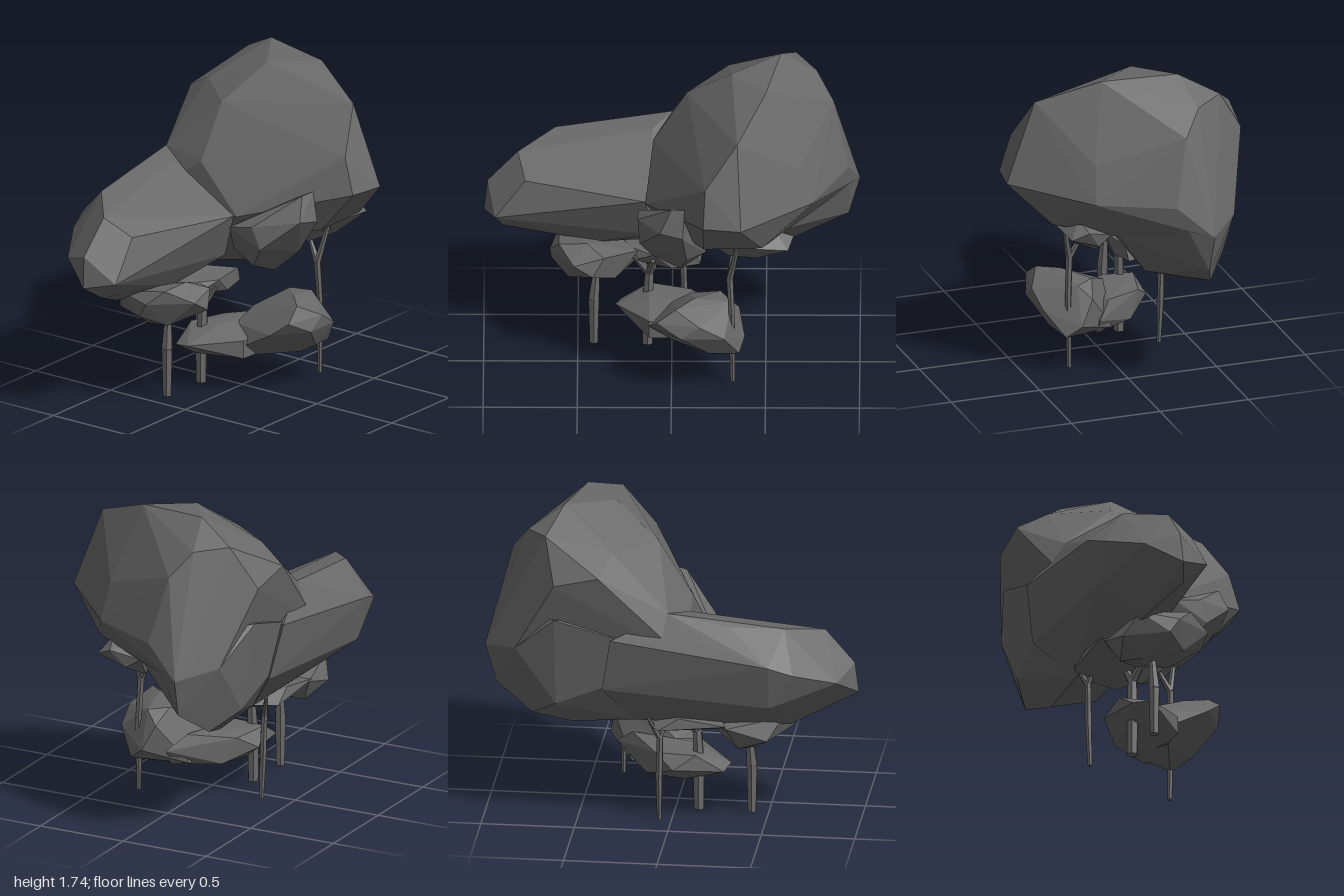
import * as THREE from 'three';
import { ConvexGeometry } from 'three/addons/geometries/ConvexGeometry.js';

const grey = new THREE.MeshStandardMaterial({ color: 0x696969, flatShading: true });
grey.name = 'dark grey';

export function createModel() {
  const model = new THREE.Group();
  model.name = 'treeCluster';

  // A faceted clump of leaves spanned by its outermost corners
  const clump = (name, corners) => {
    const mesh = new THREE.Mesh(new ConvexGeometry(corners.map((c) => new THREE.Vector3(...c))), grey);
    mesh.name = name;
    model.add(mesh);
  };

  // A tapered six-sided limb between two points
  const limb = (parent, a, b, ra, rb) => {
    const from = new THREE.Vector3(...a), dir = new THREE.Vector3(...b).sub(from);
    const mesh = new THREE.Mesh(new THREE.CylinderGeometry(rb, ra, dir.length(), 6), grey);
    mesh.name = 'limb';
    mesh.position.copy(from).addScaledVector(dir, 0.5);
    mesh.quaternion.setFromUnitVectors(new THREE.Vector3(0, 1, 0), dir.normalize());
    parent.add(mesh);
  };

  // Tree trunk: a path of points with radii, ending in a fork
  const tree = (name, path, radii, forks) => {
    const g = new THREE.Group();
    g.name = name;
    for (let i = 0; i < path.length - 1; i++) limb(g, path[i], path[i + 1], radii[i], radii[i + 1]);
    const top = path[path.length - 1], r = radii[radii.length - 1];
    for (const f of forks) limb(g, top, f, r, r * 0.5);
    model.add(g);
  };

  // Tall main crown, with a nose reaching forward
  clump('mainCrown', [
    [0.37, 1.15, 0.64], [0.17, 1.15, 0.61], [0.18, 1.35, 0.55], [0.35, 1.59, 0.475],
    [0.17, 0.91, 0.4], [0.48, 0.93, 0.42], [0.5, 1.72, 0.15], [0.58, 1.74, -0.25],
    [0.32, 1.71, -0.08], [0.77, 1.61, -0.3], [0.66, 1.63, -0.46], [0.3, 1.55, -0.46],
    [0.08, 1.53, -0.2], [0.36, 1.46, -0.62], [0.6, 1.4, -0.6], [0.86, 1.48, -0.2],
    [0.94, 1.12, -0.12], [1.0, 0.95, -0.31], [0.82, 1.0, -0.485], [0.75, 1.12, 0.27],
    [0.68, 1.32, 0.25], [-0.1, 1.24, -0.2], [-0.1, 1.0, -0.56], [-0.14, 1.0, 0.07],
    [0, 0.86, 0.08], [0.6, 0.86, 0.09], [0, 1.24, -0.51],
  ]);

  // Underside of the main crown, set back behind the nose
  clump('mainCrownBase', [
    [0, 0.86, 0.08], [0.6, 0.86, 0.09], [0.94, 1.12, -0.12], [1.0, 0.95, -0.31],
    [0.82, 1.0, -0.485], [0.94, 0.74, -0.3], [0.74, 0.6, -0.38], [0.53, 0.54, -0.33],
    [0.2, 0.57, -0.35], [0.4, 0.56, -0.13], [0.6, 0.7, -0.5], [-0.1, 1.0, -0.56],
    [-0.14, 1.0, 0.07], [0.6, 1.2, -0.58],
  ]);

  // Lower crown stretching to the side
  clump('sideCrown', [
    [-1, 0.76, -0.3], [-0.98, 0.93, -0.31], [-0.82, 1.11, -0.3], [-0.62, 1.165, -0.47],
    [-0.33, 1.18, -0.52], [-0.24, 1.1, -0.59], [0, 1.24, -0.51], [-0.1, 1.21, -0.38],
    [-0.55, 1.0, -0.645], [-0.68, 0.95, -0.61],
    [-0.55, 0.75, -0.58], [-0.9, 0.87, -0.48], [-0.94, 0.8, -0.13], [-0.9, 0.69, -0.25],
    [-0.64, 0.58, -0.35], [-0.3, 0.57, -0.35], [-0.78, 1.02, -0.14], [-0.48, 0.9, -0.11],
    [-0.45, 1.09, -0.19], [-0.14, 1.0, 0.05], [-0.1, 0.75, -0.04], [0.2, 0.57, -0.35],
    [0.3, 1.1, -0.59], [0.35, 0.8, -0.53], [-0.4, 0.64, -0.16],
  ]);

  // Small clumps tucked under the crowns
  clump('frontClump', [
    [-0.18, 0.98, 0.2], [-0.17, 0.86, 0.25], [-0.18, 0.95, 0.05], [0, 1.15, 0.4], [0.07, 1.16, 0.42],
    [0.06, 1.0, 0.455], [-0.06, 1.02, 0.43], [0.18, 0.78, 0.2], [0.05, 0.67, 0.18], [-0.1, 0.73, 0.15],
    [0.08, 0.8, 0.32], [0.2, 0.82, 0.05], [0.08, 0.72, 0.02], [-0.1, 0.8, 0.02], [0.1, 1.05, 0.2],
  ]);
  clump('noseClump', [
    [0.18, 0.9, 0.28], [0.3, 0.93, 0.36], [0.55, 0.97, 0.3], [0.65, 0.92, 0.27], [0.62, 0.88, 0.36],
    [0.6, 0.82, 0.2], [0.45, 0.74, 0.16], [0.3, 0.76, 0.2], [0.45, 0.79, 0.28], [0.45, 0.9, 0.38],
    [0.4, 0.95, 0.12], [0.58, 0.87, 0.12],
  ]);
  clump('sideClump', [
    [-0.65, 0.6, -0.15], [-0.64, 0.52, -0.2], [-0.6, 0.68, -0.06], [-0.45, 0.7, -0.03], [-0.36, 0.66, 0.06],
    [-0.52, 0.62, 0.08], [-0.42, 0.56, 0.09], [-0.55, 0.47, -0.08], [-0.46, 0.42, -0.28], [-0.36, 0.43, -0.36],
    [-0.2, 0.5, -0.2], [-0.18, 0.59, -0.15], [-0.52, 0.5, -0.42], [-0.3, 0.56, -0.42], [-0.6, 0.62, -0.36],
    [-0.3, 0.48, -0.05],
  ]);
  clump('middleClump', [
    [-0.23, 0.59, -0.2], [-0.2, 0.54, -0.14], [0, 0.51, -0.1], [0.15, 0.52, -0.13], [0.17, 0.55, -0.28],
    [0.12, 0.6, -0.12], [-0.05, 0.61, -0.42], [0.06, 0.54, -0.43], [-0.1, 0.6, -0.08], [0.02, 0.49, -0.26],
    [-0.3, 0.58, -0.44], [-0.25, 0.54, -0.36],
  ]);

  // Low bush at the front with a flat tail toward the back
  clump('lowBush', [
    [-0.12, 0.37, 0.28], [-0.08, 0.44, 0.37], [0.02, 0.51, 0.35], [0.12, 0.525, 0.25], [0.26, 0.5, 0.12],
    [0.32, 0.49, 0.22], [0.36, 0.42, 0.15], [0.39, 0.28, 0.22], [0.36, 0.22, 0.3], [0.22, 0.17, 0.22],
    [0.0, 0.19, 0.1], [0.15, 0.44, 0.42], [0.05, 0.37, 0.42], [0.28, 0.36, 0.4], [0.2, 0.24, 0.34],
    [0.1, 0.42, 0], [0.0, 0.34, -0.04], [0.25, 0.2, 0], [-0.1, 0.27, 0.1],
  ]);
  clump('lowBushTail', [
    [-0.3, 0.27, -0.14], [-0.27, 0.25, -0.24], [-0.2, 0.2, -0.16], [-0.12, 0.34, -0.25], [-0.12, 0.35, -0.08],
    [0.0, 0.26, -0.28], [0.1, 0.33, -0.2], [0.15, 0.19, -0.14], [-0.05, 0.18, -0.18], [0.25, 0.36, 0.02],
    [0.28, 0.19, 0.1], [-0.12, 0.2, 0.1], [-0.12, 0.3, 0.1], [0.34, 0.28, 0.1],
  ]);

  // Trunks with forked tops
  tree('sideTrunk', [[-0.415, 0.015, -0.185], [-0.415, 0.28, -0.185], [-0.4, 0.45, -0.19]], [0.025, 0.032, 0.02],
    [[-0.46, 0.55, -0.17], [-0.34, 0.56, -0.22]]);
  tree('middleTrunk', [[-0.13, 0.015, -0.175], [-0.13, 0.25, -0.175], [-0.12, 0.45, -0.17]], [0.03, 0.034, 0.026],
    [[-0.2, 0.56, -0.14], [-0.06, 0.57, -0.2], [-0.1, 0.56, -0.1]]);
  tree('backTrunk', [[0.065, 0, -0.33], [0.065, 0.25, -0.34], [0.06, 0.47, -0.345]], [0.013, 0.02, 0.018],
    [[0.02, 0.6, -0.31], [0.12, 0.6, -0.39]]);
  tree('frontTrunk', [[0.325, 0.035, 0.27], [0.32, 0.44, 0.275], [0.31, 0.66, 0.265]], [0.014, 0.018, 0.02],
    [[0.36, 0.92, 0.32], [0.33, 0.8, 0.19]]);

  return model;
}
